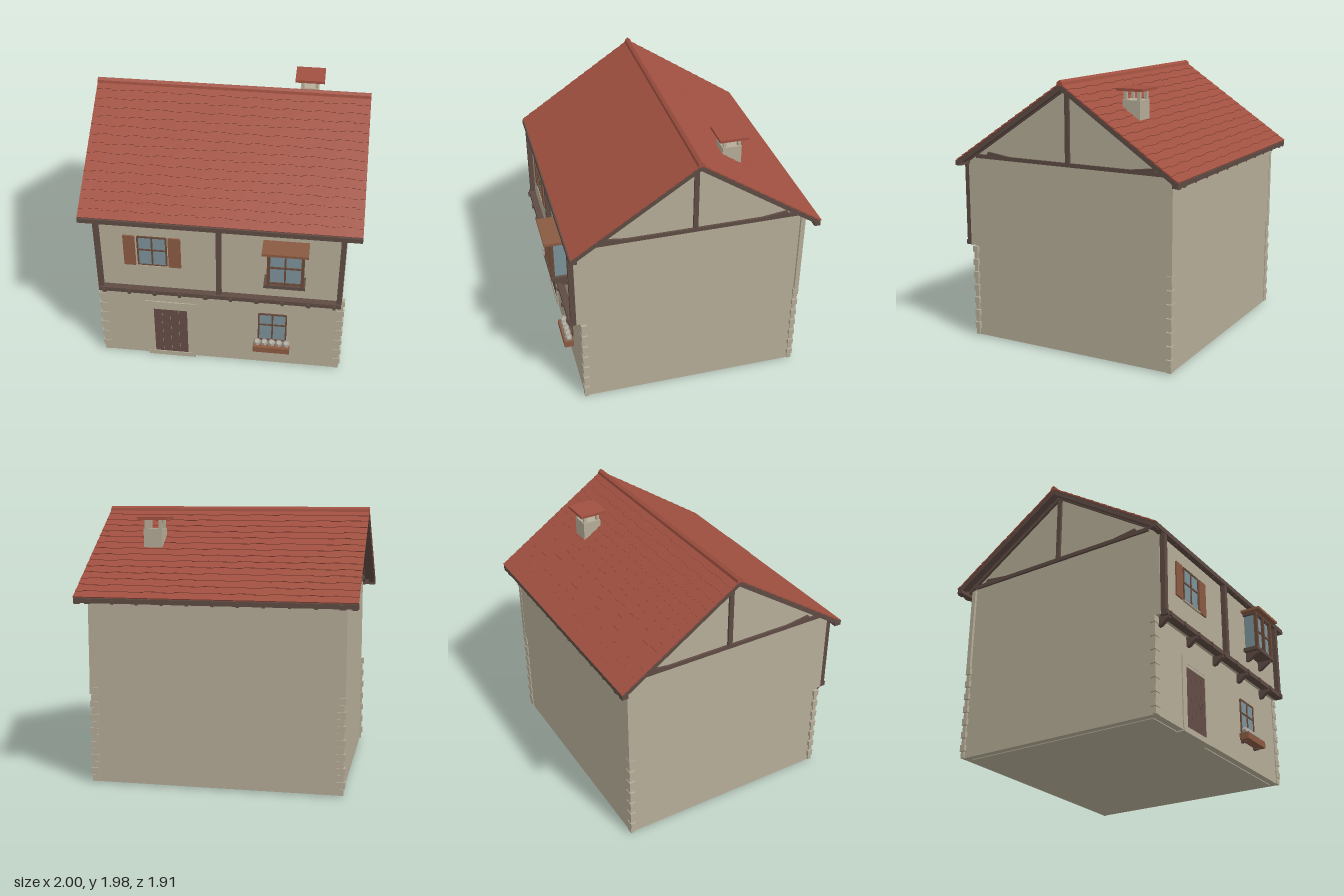
import * as THREE from 'three';
import { mergeGeometries } from 'three/addons/utils/BufferGeometryUtils.js';

const mat = (name, color) => Object.assign(new THREE.MeshStandardMaterial({ color }), { name });

export function createModel() {
  const house = new THREE.Group();
  house.name = 'house';
  const plaster = mat('plaster', 0xb5ac97);
  const timber = mat('darkTimber', 0x5e4b43);
  const tile = mat('roofTile', 0xa05040);
  const brown = mat('brownWood', 0x8a5a41);
  const doorWood = mat('doorWood', 0x644d46);
  const glass = mat('glass', 0x7b9298);
  const frame = mat('windowFrame', 0x6a4a3a);
  const petal = mat('petal', 0xaaa79c);

  // geometry of a box given by its limits
  const boxGeo = (x0, x1, y0, y1, z0, z1) =>
    new THREE.BoxGeometry(x1 - x0, y1 - y0, z1 - z0).translate((x0 + x1) / 2, (y0 + y1) / 2, (z0 + z1) / 2);
  const add = (name, geo, material) => {
    const mesh = new THREE.Mesh(Array.isArray(geo) ? mergeGeometries(geo) : geo, material);
    mesh.name = name;
    house.add(mesh);
    return mesh;
  };
  const box = (name, material, ...limits) => add(name, boxGeo(...limits), material);
  // side outline of (z, y) points swept from x0 to x1
  const sweep = (points, x0, x1) =>
    new THREE.ExtrudeGeometry(new THREE.Shape(points.map(p => new THREE.Vector2(...p))),
      { depth: x1 - x0, bevelEnabled: false }).rotateY(-Math.PI / 2).translate(x1, 0, 0);

  // roof frame: height of the tile plane above any z
  const ridgeZ = -0.06, ridgeY = 1.955, slope = 0.668, run = 0.89;
  const roofY = z => ridgeY - Math.abs(z - ridgeZ) * slope;

  // walls with the jettied upper floor and gables
  add('walls', sweep([[-0.864, 0.01], [0.762, 0.01], [0.762, 0.71], [0.8, 0.71], [0.8, roofY(0.8) - 0.03],
    [ridgeZ, ridgeY - 0.03], [-0.87, roofY(-0.87) - 0.03], [-0.87, 0.71], [-0.864, 0.71]], -0.898, 0.898), plaster);

  // corner stones and rear corner strips
  const stones = [];
  for (const sx of [-1, 1]) {
    for (const [z, s] of [[0.764, 1], [-0.867, -1]]) {
      for (let i = 0; i < 14; i++) {
        const long = i % 2, y = 0.012 + i * 0.0495;
        const xs = [sx * 0.86, sx * (long ? 0.92 : 0.91)].sort((a, b) => a - b);
        const zs = [z - s * (long ? 0.035 : 0.025), z + s * (long ? 0.006 : 0.003)].sort((a, b) => a - b);
        stones.push(boxGeo(...xs, y, y + 0.047, ...zs));
      }
    }
    const xs = [sx * 0.88, sx * 0.918].sort((a, b) => a - b);
    stones.push(boxGeo(...xs, 0.705, 1.355, -0.873, -0.84));
  }
  add('cornerStones', stones, plaster);

  // front timber framing
  box('sillBeam', timber, -0.89, 0.89, 0.703, 0.737, 0.79, 0.85);
  for (const x of [-0.875, 0, 0.875]) box('framePost', timber, x - 0.018, x + 0.018, 0.735, 1.33, 0.79, 0.838);
  box('frontEaveBeam', timber, -1, 1, 1.322, 1.358, 0.79, 0.842);
  box('backEaveBeam', timber, -1, 1, 1.322, 1.358, -0.948, -0.905);
  for (let i = 0; i < 10; i++) {
    const x = -0.85 + i * 0.188;
    box('joistEnd', timber, x - 0.011, x + 0.011, 0.7, 0.73, 0.84, 0.862);
    if (i % 2 === 0) {
      add('jettyBracket', sweep([[0.76, 0.64], [0.785, 0.645], [0.815, 0.672], [0.845, 0.69], [0.845, 0.708], [0.76, 0.708]],
        x - 0.017, x + 0.017), timber);
    }
  }

  // gable framing on both ends
  for (const sx of [-1, 1]) {
    const [a, b] = [sx * 0.885, sx * 0.915].sort((p, q) => p - q);
    box('gableTieBeam', timber, a, b, 1.372, 1.4, -0.84, 0.72);
    box('gableKingPost', timber, a, b, 1.4, 1.91, ridgeZ - 0.017, ridgeZ + 0.017);
    for (const s of [-1, 1]) {
      const pts = [[0.49, 1.4], [0.67, 1.424], [0.685, 1.4]].map(([d, y]) => [ridgeZ + s * d, y]);
      add('gableBrace', sweep(pts, a, b), timber);
    }
  }

  // rafters under both slopes
  const rafterXs = [-0.972, 0.972];
  for (let i = -5; i <= 5; i++) rafterXs.push(i * 0.179);
  const rafters = [];
  for (const x of rafterXs) {
    const w = Math.abs(x) > 0.8 ? 0.022 : 0.011;
    for (const s of [-1, 1]) {
      const end = ridgeZ + s * 0.89;
      rafters.push(sweep([[ridgeZ, ridgeY - 0.014], [end, roofY(end) - 0.014], [end, roofY(end) - 0.045],
        [ridgeZ, ridgeY - 0.045]], x - w, x + w));
    }
  }
  add('rafters', rafters, timber);

  // roof boarding
  for (const s of [-1, 1]) {
    const end = ridgeZ + s * run;
    add('roofBoards', sweep([[ridgeZ, ridgeY - 0.004], [end, roofY(end) - 0.004], [end, roofY(end) - 0.013],
      [ridgeZ, ridgeY - 0.013]], -0.995, 0.995), timber);
  }

  // staggered overlapping tiles
  const tiles = [], rows = 15, cols = 18, len = Math.hypot(run, run * slope), pitch = len / rows;
  const tilt = Math.atan(slope), w = 2 / cols;
  for (const s of [1, -1]) {
    for (let r = 0; r < rows; r++) {
      const shift = (r % 2) * w / 2;
      for (let c = 0; c <= cols; c++) {
        const x0 = Math.max(-1, -1 + c * w - shift), x1 = Math.min(1, -1 + (c + 1) * w - shift);
        if (x1 - x0 < 0.01) continue;
        const drop = (c + r) % 2 && r < rows - 1 ? 0.009 : 0;
        const g = boxGeo(x0, x1, -0.004, 0.004, 0, pitch + drop);
        g.rotateX(-0.07).translate(0, -0.001, r * pitch).rotateX(tilt);
        if (s < 0) g.rotateY(Math.PI);
        tiles.push(g.translate(0, ridgeY, ridgeZ));
      }
    }
  }
  add('roofTiles', tiles, tile);
  add('ridgeCap', sweep([[-0.085, 1.943], [-0.08, 1.965], [-0.06, 1.98], [-0.04, 1.965], [-0.035, 1.943]], -1, 1), tile);

  // chimney with a raised cap
  box('chimneyStack', plaster, 0.48, 0.62, 1.6, 1.825, -0.473, -0.335);
  for (const x of [0.497, 0.603]) for (const z of [-0.456, -0.352])
    box('chimneyPost', plaster, x - 0.011, x + 0.011, 1.82, 1.895, z - 0.011, z + 0.011);
  box('chimneyCap', tile, 0.44, 0.66, 1.89, 1.91, -0.51, -0.3);

  // window with frame and glazing bars, on a wall at z
  const windowAt = (name, x0, x1, y0, y1, z, barY) => {
    box(name + 'Glass', glass, x0, x1, y0, y1, z - 0.01, z + 0.003);
    const xm = (x0 + x1) / 2, t = 0.006;
    const bars = [x0, xm, x1].map(x => boxGeo(x - t, x + t, y0, y1, z, z + 0.009));
    for (const y of [y0, barY, y1]) bars.push(boxGeo(x0, x1, y - t, y + t, z, z + 0.009));
    add(name + 'Frame', bars, frame);
  };

  // shuttered upper window
  windowAt('upperWindow', -0.585, -0.38, 0.95, 1.205, 0.801, 1.09);
  box('upperWindowSill', plaster, -0.595, -0.37, 0.938, 0.948, 0.795, 0.815);
  box('shutter', brown, -0.69, -0.605, 0.943, 1.21, 0.795, 0.812);
  box('shutter', brown, -0.365, -0.275, 0.943, 1.21, 0.795, 0.812);

  // bay window
  box('bayGlass', glass, 0.365, 0.6, 0.94, 1.235, 0.795, 0.89);
  const bay = [];
  for (const x of [0.362, 0.48, 0.603]) {
    const t = x === 0.48 ? 0.006 : 0.011;
    bay.push(boxGeo(x - t, x + t, 0.94, 1.235, 0.888, 0.914));
  }
  for (const y of [0.947, 1.09, 1.222]) bay.push(boxGeo(0.362, 0.603, y - 0.006, y + 0.006, 0.886, 0.9));
  add('bayFrame', bay, frame);
  box('baySill', timber, 0.33, 0.625, 0.912, 0.94, 0.795, 0.916);
  box('bayRoof', brown, 0.315, 0.64, 1.238, 1.258, 0.795, 0.955);
  box('bayLintel', timber, 0.345, 0.62, 1.222, 1.24, 0.795, 0.912);
  for (const x of [0.378, 0.584])
    add('bayBracket', sweep([[0.795, 0.845], [0.82, 0.845], [0.9, 0.9], [0.9, 0.913], [0.795, 0.913]], x - 0.013, x + 0.013), timber);

  // ground floor window with a flower box
  windowAt('lowerWindow', 0.292, 0.497, 0.255, 0.515, 0.763, 0.41);
  box('flowerBox', brown, 0.255, 0.532, 0.185, 0.235, 0.768, 0.84);
  for (const x of [0.295, 0.492]) box('flowerBoxFoot', timber, x - 0.009, x + 0.009, 0.17, 0.195, 0.76, 0.8);
  for (let i = 0; i < 5; i++) {
    const flower = add('flower', new THREE.DodecahedronGeometry(0.029), petal);
    flower.position.set(0.284 + i * 0.055, 0.258, 0.803);
  }

  // door of planks with a ring, surround and step
  for (let i = 0; i < 4; i++) {
    const x = -0.508 + i * 0.064;
    box('doorPlank', doorWood, x + 0.001, x + 0.063, 0.04, 0.48, 0.755, 0.766);
  }
  const ring = add('doorRing', new THREE.TorusGeometry(0.02, 0.003, 6, 20), timber);
  ring.position.set(-0.315, 0.25, 0.769);
  box('doorLintel', plaster, -0.51, -0.25, 0.48, 0.503, 0.755, 0.769);
  box('doorSurround', plaster, -0.565, -0.51, 0.03, 0.555, 0.755, 0.769);
  box('doorSurround', plaster, -0.25, -0.185, 0.03, 0.555, 0.755, 0.769);
  box('doorHead', plaster, -0.51, -0.25, 0.503, 0.555, 0.755, 0.771);
  box('doorStep', plaster, -0.56, -0.195, 0, 0.04, 0.7, 0.772);

  // floor plinth
  box('plinth', plaster, -0.85, 0.85, 0.004, 0.02, -0.81, 0.71);
  return house;
}
